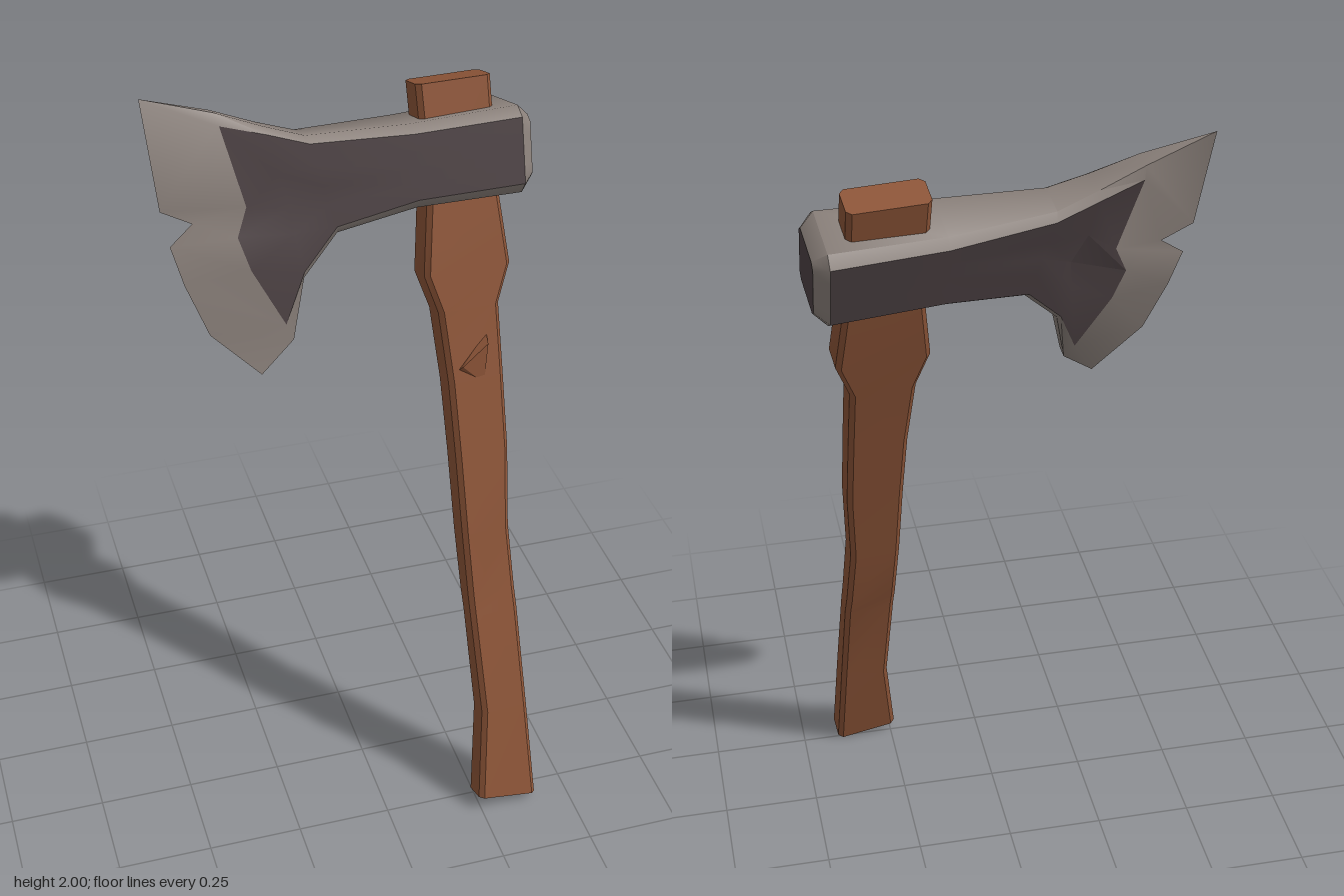
import * as THREE from 'three';
import { toCreasedNormals } from 'three/addons/utils/BufferGeometryUtils.js';
import { ConvexGeometry } from 'three/addons/geometries/ConvexGeometry.js';

const PIVOT = 0.3; // x of the handle axis

const quad = (out, a, b, c, d) => out.push(...a, ...b, ...c, ...a, ...c, ...d);

// Close the end of a ring with a fan around its centre
function cap(out, ring, flip) {
  const mid = [0, 1, 2].map((n) => ring.reduce((s, p) => s + p[n], 0) / ring.length);
  ring.forEach((p, k) => {
    const q = ring[(k + 1) % ring.length];
    out.push(...mid, ...(flip ? q : p), ...(flip ? p : q));
  });
}

function makeMesh(name, positions, material, crease) {
  const geometry = new THREE.BufferGeometry();
  geometry.setAttribute('position', new THREE.Float32BufferAttribute(positions, 3));
  const mesh = new THREE.Mesh(toCreasedNormals(geometry, crease), material);
  mesh.name = name;
  return mesh;
}

// Handle: chamfered rectangular sections [height, left x, right x, centre z, half depth]
function makeHandle(material) {
  const rows = [
    [0, 0.24, 0.405, 0, 0.041],
    [0.27, 0.265, 0.395, 0, 0.039],
    [0.56, 0.25, 0.383, 0.002, 0.035],
    [0.62, 0.248, 0.38, -0.003, 0.037],
    [0.8, 0.24, 0.37, 0, 0.04],
    [1.02, 0.235, 0.38, 0, 0.04],
    [1.22, 0.228, 0.378, 0, 0.041],
    [1.41, 0.212, 0.375, 0, 0.042],
    [1.51, 0.18, 0.41, 0, 0.045],
    [1.7, 0.2, 0.39, 0, 0.045],
    [1.985, 0.19, 0.385, 0, 0.043],
  ];
  const c = 0.012;
  const rings = rows.map(([y, l, r, z, d], i) => [
    [l, d - c], [l + c, d], [r - c, d], [r, d - c],
    [r, c - d], [r - c, -d], [l + c, -d], [l, c - d],
  ].map(([x, w]) => [
    x - PIVOT,
    y - (i === 0 ? 0.15 * (x - 0.32) : 0), // slanted foot
    z + w,
  ]));
  const out = [];
  for (let i = 0; i < rings.length - 1; i++) {
    for (let k = 0; k < 8; k++) {
      const n = (k + 1) % 8;
      quad(out, rings[i][k], rings[i][n], rings[i + 1][n], rings[i + 1][k]);
    }
  }
  cap(out, rings[0], true);
  cap(out, rings[rings.length - 1], false);
  return makeMesh('handle', out, material, 0.6);
}

// Straight head station: seven points from bottom to top, with chamfered ends
function straight([xb, yb], [xt, yt], t, c) {
  const h = yt - yb;
  const f = [0, c / h, 0.3, 0.5, 0.7, 1 - c / h, 1];
  return f.map((s, j) => [
    xb + (xt - xb) * s,
    yb + h * s,
    j === 0 || j === 6 ? t - Math.min(c, t * 0.6) : t,
  ]);
}

// Head: stations from the poll to the cutting edge, points are [x, y, half thickness]
function makeHead(steel, iron) {
  const throat = straight([-0.13, 1.56], [-0.2, 1.94], 0.05, 0.018);
  throat[3] = [-0.15, 1.735, 0.034]; // battered dent
  const stations = [
    straight([0.468, 1.722], [0.468, 1.878], 0.072, 0.015),
    straight([0.435, 1.692], [0.435, 1.908], 0.1, 0.026),
    straight([0.16, 1.695], [0.16, 1.9], 0.088, 0.022),
    straight([-0.04, 1.66], [-0.1, 1.905], 0.06, 0.018),
    throat,
    [
      [-0.165, 1.405, 0.016], [-0.185, 1.45, 0.03], [-0.262, 1.6, 0.038],
      [-0.288, 1.686, 0.04], [-0.258, 1.755, 0.034], [-0.305, 1.955, 0.036],
      [-0.31, 1.985, 0.022],
    ],
    [
      [-0.25, 1.325, 0], [-0.37, 1.447, 0], [-0.42, 1.581, 0],
      [-0.445, 1.68, 0], [-0.385, 1.727, 0], [-0.46, 1.767, 0],
      [-0.48, 2.037, 0],
    ],
  ];
  // Front points upward, then back points downward
  const rings = stations.map((s) => [
    ...s.map(([x, y, t]) => [x - PIVOT, y, t]),
    ...s.map(([x, y, t]) => [x - PIVOT, y, -t]).reverse(),
  ]);
  const bright = [], dark = [];
  for (let i = 0; i < rings.length - 1; i++) {
    for (let k = 0; k < 14; k++) {
      const n = (k + 1) % 14;
      const cheek = i >= 1 && i <= 4 && ((k >= 1 && k <= 4) || (k >= 8 && k <= 11));
      quad(cheek ? dark : bright, rings[i][k], rings[i][n], rings[i + 1][n], rings[i + 1][k]);
    }
  }
  const poll = [];
  cap(poll, rings[0], true);
  const head = new THREE.Group();
  head.name = 'axeHead';
  head.add(
    makeMesh('wornEdges', bright, steel, 0.8),
    makeMesh('cheeks', dark, iron, 0.6),
    makeMesh('pollFace', poll, iron, 0.3),
  );
  return head;
}

// Splinter lifting off the front of the handle
function makeSplinter(material) {
  const points = [
    [0.25, 1.25, 0.036], [0.322, 1.205, 0.036], [0.335, 1.34, 0.036],
    [0.33, 1.315, 0.06], [0.262, 1.262, 0.05],
  ].map(([x, y, z]) => new THREE.Vector3(x - PIVOT, y, z));
  const mesh = new THREE.Mesh(new ConvexGeometry(points), material);
  mesh.name = 'splinter';
  return mesh;
}

export function createModel() {
  const wood = new THREE.MeshStandardMaterial({ color: 0x8d5538 });
  wood.name = 'wood';
  const steel = new THREE.MeshStandardMaterial({ color: 0x8c827c });
  steel.name = 'worn steel';
  const iron = new THREE.MeshStandardMaterial({ color: 0x4d4244 });
  iron.name = 'dark iron';

  // The whole axe leans back and turns slightly
  const axe = new THREE.Group();
  axe.name = 'axe';
  axe.add(makeHandle(wood), makeSplinter(wood), makeHead(steel, iron));
  axe.position.set(PIVOT, 0.022, 0.285);
  axe.rotation.set(-0.271, 0.08, 0);

  const model = new THREE.Group();
  model.name = 'leaningAxe';
  model.add(axe);
  return model;
}
